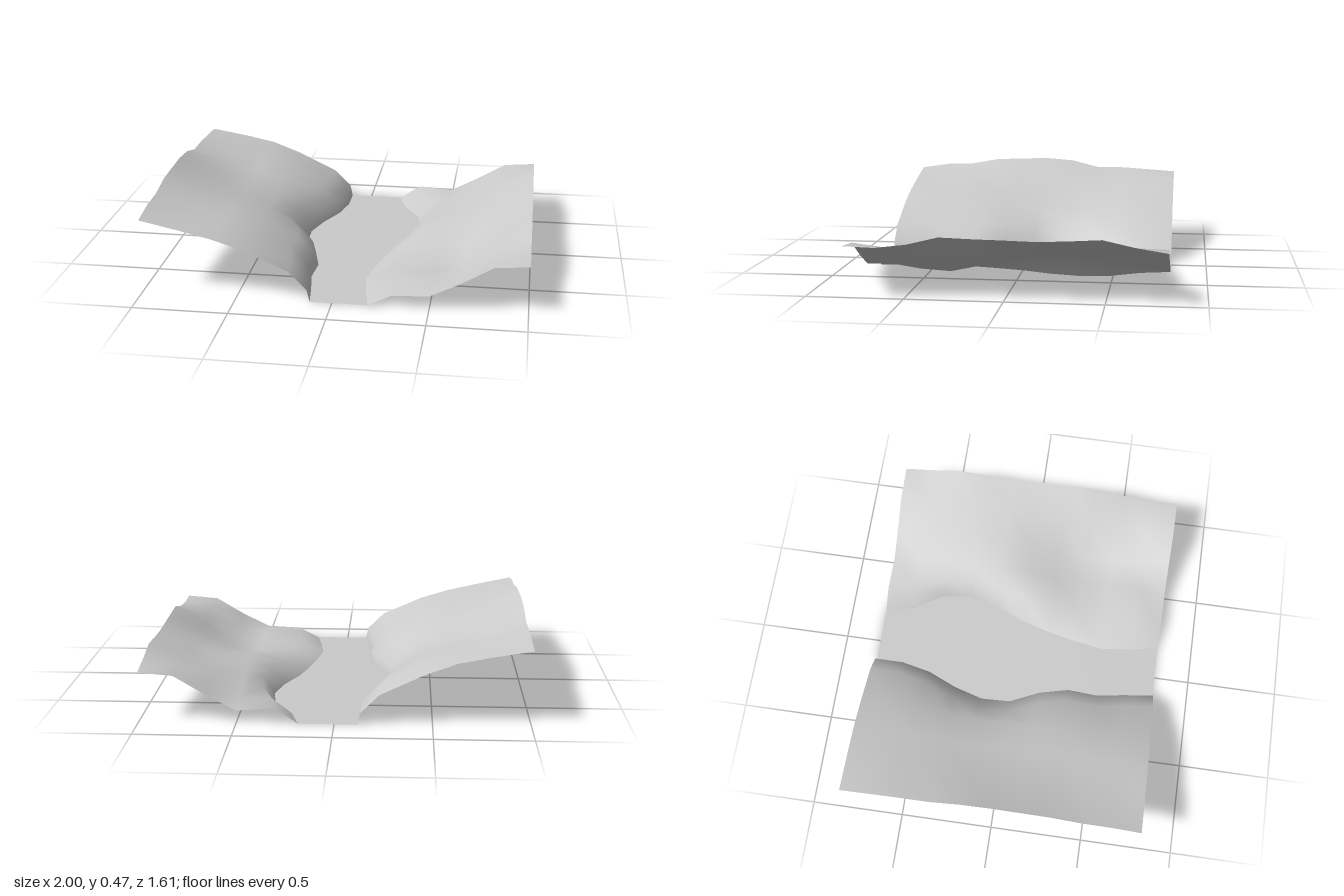
import * as THREE from 'three';

const material = new THREE.MeshStandardMaterial({ color: 0xcccccc, side: THREE.DoubleSide });

// Cross-sections run from the back (z = -0.8) to the front (z = 0.8).
const ROWS = 11;
const zAt = (i) => -0.805 + (1.61 * i) / (ROWS - 1);

// Shorelines of the river bed, one x per cross-section.
const shoreRight = [-0.12, -0.12, -0.155, -0.225, -0.272, -0.265, -0.19, -0.15, -0.16, -0.135, -0.115];
const shoreLeft = [0.185, 0.23, 0.33, 0.35, 0.31, 0.24, 0.195, 0.16, 0.135, 0.155, 0.185];

// High bank: heights at x = -1, -0.79, -0.62, -0.46.
const highBank = [
  [0.40, 0.365, 0.33, 0.27], [0.41, 0.36, 0.325, 0.28], [0.42, 0.35, 0.31, 0.27],
  [0.42, 0.34, 0.29, 0.24], [0.46, 0.335, 0.28, 0.22], [0.472, 0.345, 0.285, 0.225],
  [0.467, 0.36, 0.30, 0.25], [0.46, 0.365, 0.315, 0.265], [0.43, 0.36, 0.32, 0.27],
  [0.425, 0.355, 0.32, 0.275], [0.40, 0.355, 0.315, 0.265],
];

// Low bank: heights just above the shore, then at x = 0.5, 0.66, 0.82, 1.
const lowBank = [
  [0.08, 0.065, 0.15, 0.245, 0.26], [0.08, 0.09, 0.16, 0.25, 0.285], [0.085, 0.115, 0.165, 0.25, 0.32],
  [0.09, 0.13, 0.165, 0.24, 0.31], [0.09, 0.148, 0.165, 0.235, 0.303], [0.085, 0.135, 0.15, 0.22, 0.307],
  [0.07, 0.08, 0.11, 0.205, 0.31], [0.06, 0.055, 0.075, 0.205, 0.315], [0.06, 0.07, 0.085, 0.205, 0.275],
  [0.075, 0.09, 0.11, 0.225, 0.255], [0.06, 0.07, 0.15, 0.245, 0.26],
];

// Lofts a smooth sheet through cross-sections of [x, y] points ordered by x.
function sheet(name, section) {
  const positions = [];
  const indices = [];
  let n = 0;
  for (let i = 0; i < ROWS; i++) {
    const points = section(i);
    n = points.length;
    for (const [x, y] of points) positions.push(x, y, zAt(i));
  }
  for (let i = 0; i < ROWS - 1; i++) {
    for (let j = 0; j < n - 1; j++) {
      const a = i * n + j;
      const c = a + n;
      indices.push(a, c, a + 1, a + 1, c, c + 1);
    }
  }
  const geometry = new THREE.BufferGeometry();
  geometry.setAttribute('position', new THREE.Float32BufferAttribute(positions, 3));
  geometry.setIndex(indices);
  geometry.computeVertexNormals();
  const mesh = new THREE.Mesh(geometry, material);
  mesh.name = name;
  return mesh;
}

export function createModel() {
  const group = new THREE.Group();
  group.name = 'riverValley';

  // High slope with a steep lip at the water's edge
  group.add(sheet('highBank', (i) => {
    const e = shoreRight[i];
    const h = highBank[i];
    return [
      [-1, h[0]], [-0.79, h[1]], [-0.62, h[2]], [-0.46, h[3]],
      [e - 0.11, 0.16], [e - 0.015, 0.065], [e, 0],
    ];
  }));

  // Flat river bed
  group.add(sheet('riverBed', (i) => [[shoreRight[i], 0], [shoreLeft[i], 0]]));

  // Low slope with a shelf behind the shore
  group.add(sheet('lowBank', (i) => {
    const e = shoreLeft[i];
    const h = lowBank[i];
    const x = e + (0.5 - e) * 0.38;
    return [[e, 0], [x, h[0]], [0.5, h[1]], [0.66, h[2]], [0.82, h[3]], [1, h[4]]];
  }));

  return group;
}
